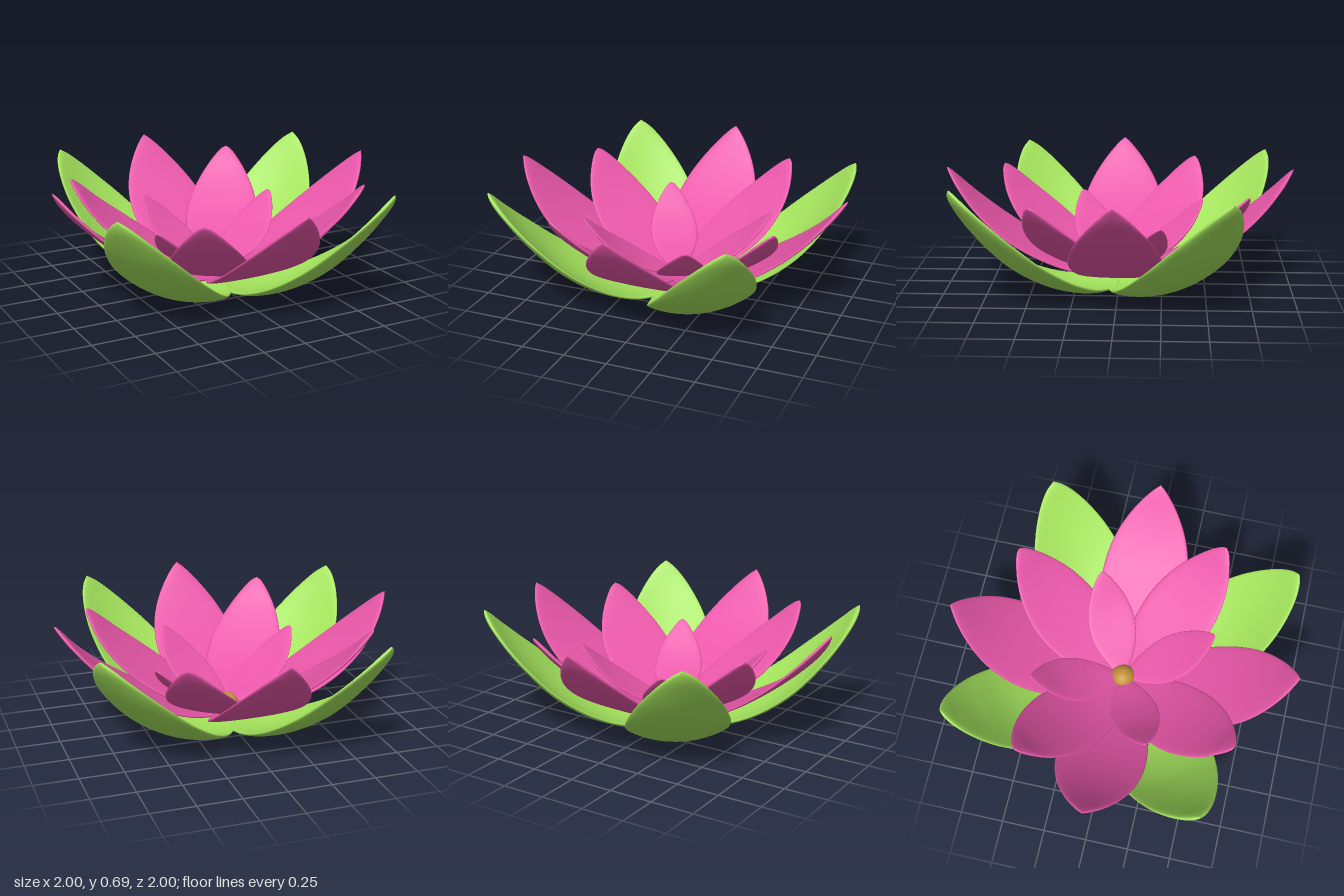
import * as THREE from 'three';

const GREEN = 0xa4e45c, PINK = 0xe957a9, GOLD = 0xc4933a;

// Each whorl: four equal petals; spine rows are [distance out, height, half width]
const WHORLS = [
  { name: 'sepal', color: GREEN, turn: 0.608, thick: 0.017, cup: 0.75, spine: [
    [0.035, 0.045, 0], [0.05, 0.036, 0.08], [0.13, 0.018, 0.16], [0.3, 0.022, 0.235], [0.5, 0.085, 0.28],
    [0.7, 0.21, 0.282], [0.88, 0.395, 0.225], [1.0, 0.555, 0.135], [1.06, 0.65, 0.055], [1.08, 0.69, 0]] },
  { name: 'outerPetal', color: PINK, turn: 0, thick: 0.014, cup: 0.05, spine: [
    [0, 0.08, 0], [0.04, 0.08, 0.07], [0.14, 0.09, 0.14], [0.32, 0.145, 0.22], [0.54, 0.255, 0.257],
    [0.7, 0.365, 0.24], [0.82, 0.472, 0.19], [0.92, 0.583, 0.11], [0.98, 0.663, 0.035], [1.0, 0.69, 0]] },
  { name: 'middlePetal', color: PINK, turn: 1.012, thick: 0.014, cup: 0.2, spine: [
    [0, 0.09, 0], [0.03, 0.09, 0.05], [0.12, 0.108, 0.115], [0.28, 0.165, 0.19], [0.46, 0.262, 0.22],
    [0.6, 0.362, 0.2], [0.72, 0.468, 0.145], [0.8, 0.56, 0.078], [0.84, 0.61, 0.028], [0.85, 0.625, 0]] },
  { name: 'innerPetal', color: PINK, turn: 0.455, thick: 0.011, cup: 0.35, spine: [
    [0.02, 0.11, 0], [0.04, 0.112, 0.035], [0.1, 0.13, 0.08], [0.2, 0.172, 0.125], [0.29, 0.224, 0.14],
    [0.38, 0.288, 0.127], [0.46, 0.361, 0.088], [0.52, 0.425, 0.039], [0.54, 0.447, 0.014], [0.545, 0.452, 0]] },
];

// Thin cupped solid swept along the spine with a flattened oval section
function petalGeometry({ spine, thick, cup }) {
  const curve = new THREE.CatmullRomCurve3(spine.map(p => new THREE.Vector3(...p)));
  const rows = 48, ring = 32, pos = [], index = [];
  for (let i = 0; i <= rows; i++) {
    const t = i / rows;
    const p = curve.getPoint(t), d = curve.getTangent(t);
    const len = Math.hypot(d.x, d.y) || 1;
    const nz = -d.y / len, ny = d.x / len;
    const w = Math.max(p.z, 0);
    const half = thick * Math.min(1, Math.sqrt(w / 0.08));
    for (let j = 0; j < ring; j++) {
      const a = j / ring * Math.PI * 2;
      const x = w * Math.cos(a), s = Math.sin(a);
      const lift = cup * x * x + half * Math.sign(s) * Math.pow(Math.abs(s), 0.7);
      pos.push(x, p.y + ny * lift, p.x + nz * lift);
      if (i < rows) {
        const k = (j + 1) % ring, r = i * ring, q = r + ring;
        index.push(r + j, r + k, q + j, r + k, q + k, q + j);
      }
    }
  }
  const geo = new THREE.BufferGeometry();
  geo.setAttribute('position', new THREE.Float32BufferAttribute(pos, 3));
  geo.setIndex(index);
  geo.computeVertexNormals();
  return geo;
}

export function createModel() {
  const flower = new THREE.Group();
  flower.name = 'lotusFlower';

  // Four whorls, each turned against the one below
  for (const whorl of WHORLS) {
    const group = new THREE.Group();
    group.name = whorl.name + 's';
    const geo = petalGeometry(whorl);
    const mat = new THREE.MeshStandardMaterial({ color: whorl.color });
    for (let k = 0; k < 4; k++) {
      const petal = new THREE.Mesh(geo, mat);
      petal.name = whorl.name;
      petal.rotation.y = whorl.turn + k * Math.PI / 2;
      group.add(petal);
    }
    flower.add(group);
  }

  // Round seed head in the middle
  const heart = new THREE.Mesh(
    new THREE.SphereGeometry(0.075, 32, 20),
    new THREE.MeshStandardMaterial({ color: GOLD }));
  heart.name = 'seedHead';
  heart.position.y = 0.09;
  flower.add(heart);

  return flower;
}
